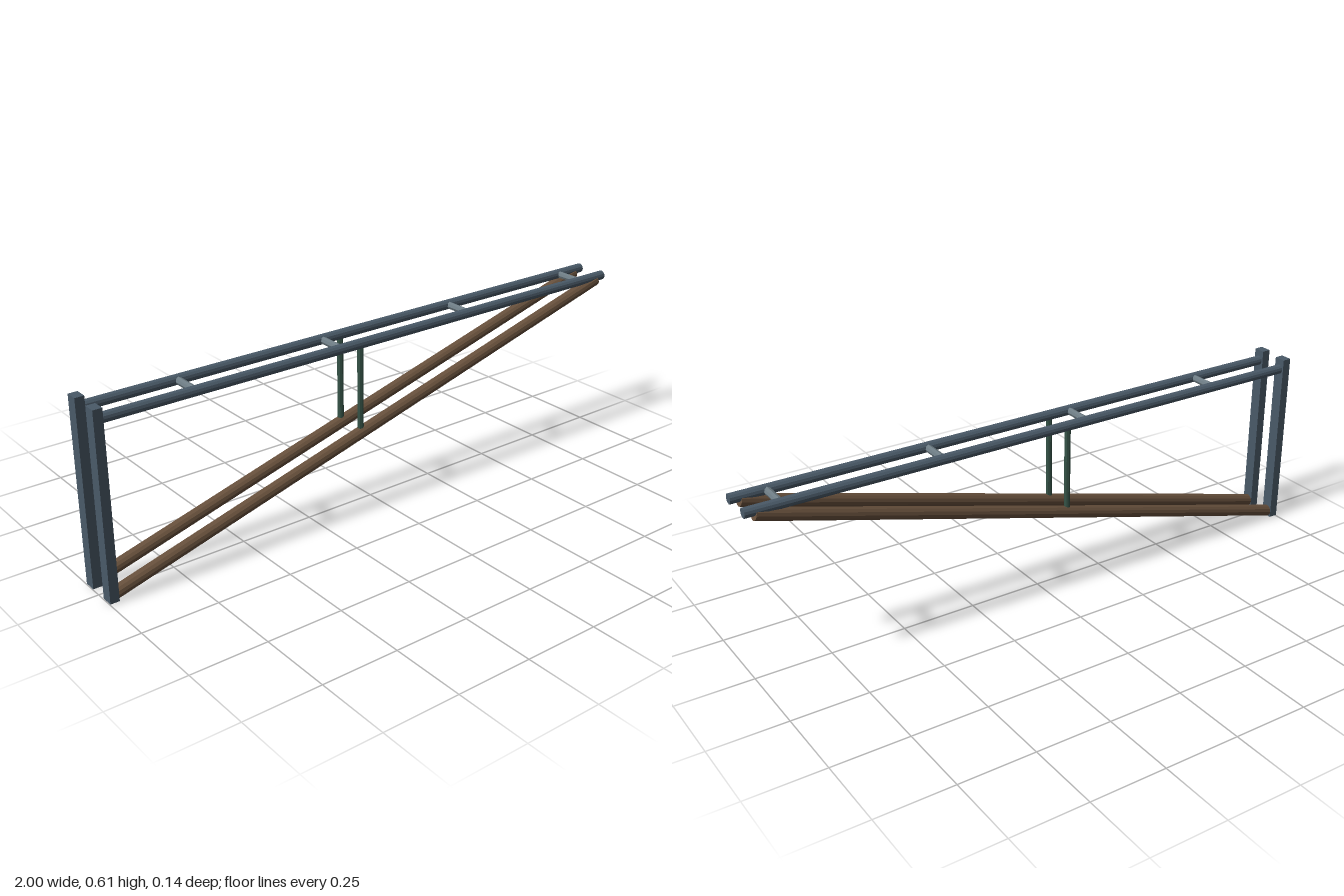
import * as THREE from 'three';

const material = (name, color) => {
  const m = new THREE.MeshStandardMaterial({ color, flatShading: true });
  m.name = name;
  return m;
};

export function createModel() {
  const steel = material('blue grey steel', 0x4a5a68);
  const wood = material('brown timber', 0x67503c);
  const green = material('dark green metal', 0x355347);
  const grey = material('light grey metal', 0x6d7c84);

  const model = new THREE.Group();
  model.name = 'bracketFrame';

  // Round bar between two points
  function bar(name, a, b, radius, sides, mat) {
    const from = new THREE.Vector3(...a), to = new THREE.Vector3(...b);
    const dir = to.clone().sub(from);
    const mesh = new THREE.Mesh(new THREE.CylinderGeometry(radius, radius, dir.length(), sides), mat);
    mesh.position.copy(from).add(to).multiplyScalar(0.5);
    mesh.quaternion.setFromUnitVectors(new THREE.Vector3(0, 1, 0), dir.normalize());
    mesh.name = name;
    model.add(mesh);
  }

  const railY = 0.573, sideZ = 0.052;

  // Two matching triangular side frames
  for (const [side, z] of [['front', sideZ], ['back', -sideZ]]) {
    const post = new THREE.Mesh(new THREE.BoxGeometry(0.03, 0.606, 0.04), steel);
    post.position.set(-0.985, 0.307, z);
    post.name = side + 'Post';
    model.add(post);

    bar(side + 'TopRail', [-0.985, railY, z], [1, railY, z], 0.016, 12, steel);
    bar(side + 'DiagonalBrace', [-0.985, 0.02, z], [0.968, 0.562, z], 0.02, 12, wood);
    bar(side + 'Hanger', [-0.08, 0.272, z], [-0.08, railY, z], 0.01, 8, green);
  }

  // Rungs joining the top rails
  for (const x of [-0.67, -0.153, 0.367, 0.887]) {
    bar('crossRung', [x, railY, -sideZ], [x, railY, sideZ], 0.012, 8, grey);
  }

  return model;
}
